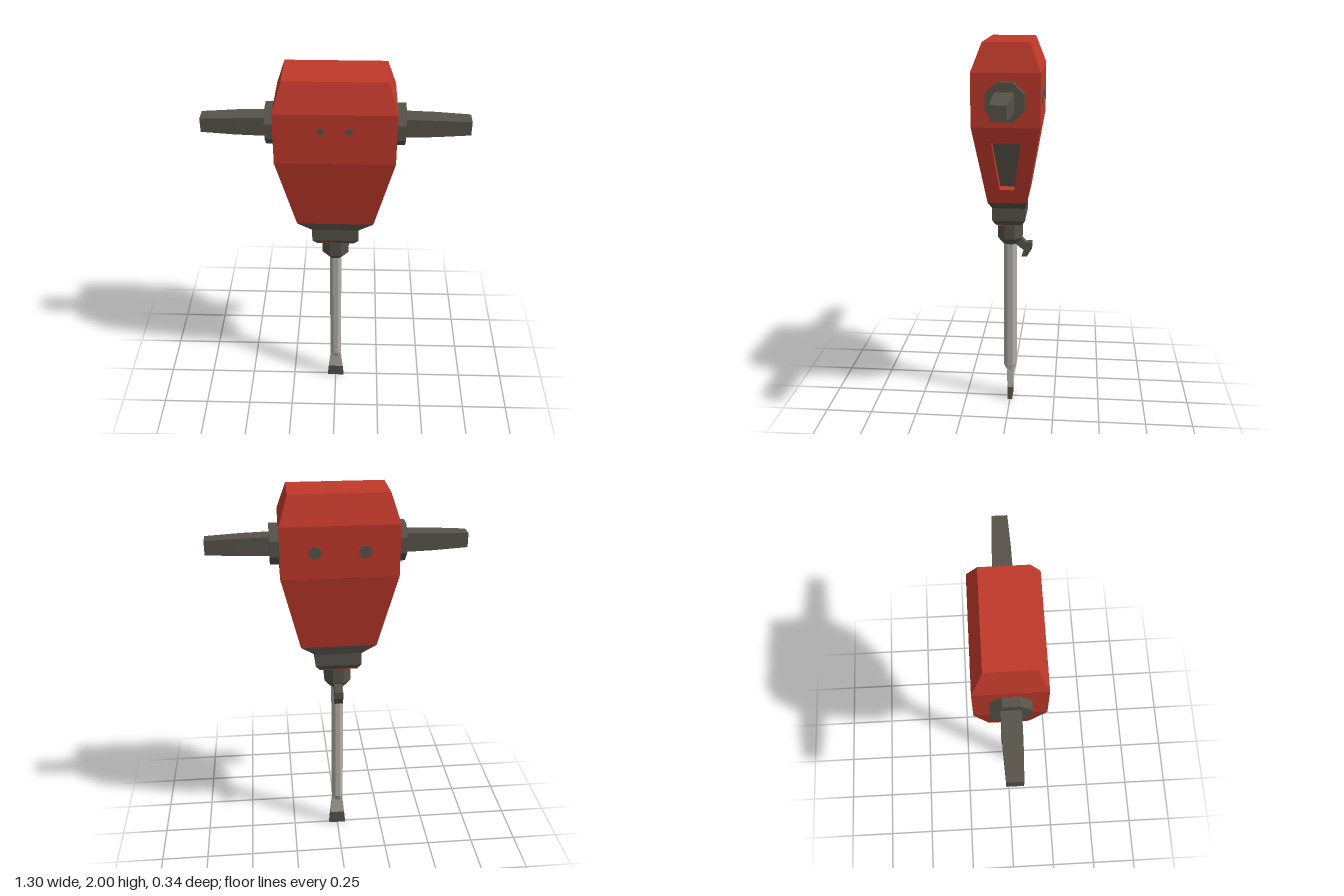
import * as THREE from 'three';

const mat = (name, color) => {
  const m = new THREE.MeshStandardMaterial({ color, flatShading: true });
  m.name = name;
  return m;
};

// Flat-shaded geometry from a list of four-cornered faces
function quads(list) {
  const pos = [];
  for (const [a, b, c, d] of list) pos.push(...a, ...b, ...c, ...a, ...c, ...d);
  const g = new THREE.BufferGeometry();
  g.setAttribute('position', new THREE.Float32BufferAttribute(pos, 3));
  g.computeVertexNormals();
  return g;
}

// Skin over n-sided sections [y, halfX, halfZ] listed from bottom to top
function loft(n, sections) {
  const k = 1 / Math.cos(Math.PI / n);
  const point = ([y, hx, hz], i) => {
    const a = ((i + 0.5) / n) * Math.PI * 2;
    return [hx * k * Math.cos(a), y, hz * k * Math.sin(a)];
  };
  const faces = [];
  const low = sections[0], high = sections[sections.length - 1];
  for (let i = 0; i < n; i++) {
    for (let s = 0; s + 1 < sections.length; s++) {
      const p = sections[s], q = sections[s + 1];
      faces.push([point(p, i), point(q, i), point(q, i + 1), point(p, i + 1)]);
    }
    const cb = [0, low[0], 0], ct = [0, high[0], 0];
    faces.push([cb, point(low, i), point(low, i + 1), cb]);
    faces.push([ct, point(high, i + 1), point(high, i), ct]);
  }
  return quads(faces);
}

export function createModel() {
  const red = mat('red paint', 0xc0392b);
  const dark = mat('dark grey', 0x57534a);
  const steel = mat('steel', 0xb3b0aa);

  const model = new THREE.Group();
  model.name = 'demolitionHammer';
  const add = (name, geometry, material, parent = model) => {
    const m = new THREE.Mesh(geometry, material);
    m.name = name;
    parent.add(m);
    return m;
  };

  // Upper housing
  add('upperHousing', loft(4, [[1.6, 0.29, 0.168], [1.86, 0.29, 0.168], [2, 0.245, 0.115]]), red);

  // Lower housing, vents and handles: one half, then the same turned half round
  const slopeX = (y) => 0.195 + (0.095 * (y - 1.2)) / 0.4;
  const ring = (y0, h0, y1, h1, inset) => [
    [slopeX(y0) - inset, y0, h0], [slopeX(y0) - inset, y0, -h0],
    [slopeX(y1) - inset, y1, -h1], [slopeX(y1) - inset, y1, h1],
  ];
  const outer = ring(1.2, 0.1, 1.6, 0.168, 0);
  const rim = ring(1.272, 0.037, 1.52, 0.071, 0);
  const back = ring(1.284, 0.036, 1.518, 0.07, 0.035);
  const shell = [[
    [-0.195, 1.2, 0.1], [0.195, 1.2, 0.1], [0.29, 1.6, 0.168], [-0.29, 1.6, 0.168],
  ]];
  for (let i = 0; i < 4; i++) {
    const j = (i + 1) % 4;
    shell.push([outer[i], outer[j], rim[j], rim[i]]);
    shell.push([rim[i], rim[j], back[j], back[i]]);
  }
  const shellGeo = quads(shell);
  const ventGeo = quads([back]);
  const hubGeo = loft(8, [[0.28, 0.094, 0.094], [0.336, 0.094, 0.094]]);
  const gripGeo = loft(4, [[0.33, 0.048, 0.047], [0.48, 0.044, 0.045], [0.65, 0.036, 0.038]]);
  for (const [side, turn] of [['left', 0], ['right', Math.PI]]) {
    const half = new THREE.Group();
    half.name = side + 'Half';
    half.rotation.y = turn;
    model.add(half);
    add(side + 'LowerHousing', shellGeo, red, half);
    add(side + 'Vent', ventGeo, dark, half);
    for (const [name, geo] of [['HandleHub', hubGeo], ['HandleGrip', gripGeo]]) {
      const m = add(side + name, geo, dark, half);
      m.rotation.z = -Math.PI / 2;
      m.position.y = 1.728;
    }
  }

  // Bolts: small pair at the front, larger pair at the back
  for (const s of [-1, 1]) {
    for (const [name, x, y, z, r] of [['frontBolt', 0.067, 1.775, 0.168, 0.017], ['backBolt', 0.122, 1.73, -0.168, 0.033]]) {
      const m = add(name, new THREE.CylinderGeometry(r, r, 0.006, 8), dark);
      m.rotation.x = Math.PI / 2;
      m.position.set(s * x, y, z);
    }
  }

  // Collar with painted underside, and chuck
  add('collar', loft(4, [[1.055, 0.1, 0.068], [1.082, 0.12, 0.085], [1.15, 0.12, 0.085], [1.2, 0.195, 0.1]]), dark);
  add('collarUnderside', loft(4, [[1.051, 0.098, 0.066], [1.055, 0.098, 0.066]]), red);
  add('chuck', loft(8, [[0.928, 0.04, 0.038], [0.965, 0.07, 0.065], [1.06, 0.07, 0.065]]), dark);

  // Retaining hook behind the chuck
  const hookShape = new THREE.Shape([
    [0.03, 0.925], [0.075, 0.89], [0.062, 0.855], [0.09, 0.855], [0.117, 0.9],
    [0.117, 0.936], [0.085, 0.932], [0.055, 0.965], [0.03, 0.975],
  ].map(([u, v]) => new THREE.Vector2(u, v)));
  const hookGeo = new THREE.ExtrudeGeometry(hookShape, { depth: 0.044, bevelEnabled: false });
  hookGeo.translate(0, 0, -0.022).rotateY(Math.PI / 2);
  add('retainingHook', hookGeo, dark);

  // Chisel: shaft, flattened neck and blade tip
  add('chiselShaft', loft(8, [[0.165, 0.027, 0.017], [0.205, 0.031, 0.035], [0.94, 0.031, 0.035]]), steel);
  add('chiselNeck', loft(4, [[0.075, 0.04, 0.014], [0.175, 0.029, 0.018], [0.2, 0.024, 0.022]]), steel);
  add('chiselTip', loft(4, [[0, 0.047, 0.013], [0.075, 0.04, 0.014]]), dark);

  return model;
}
